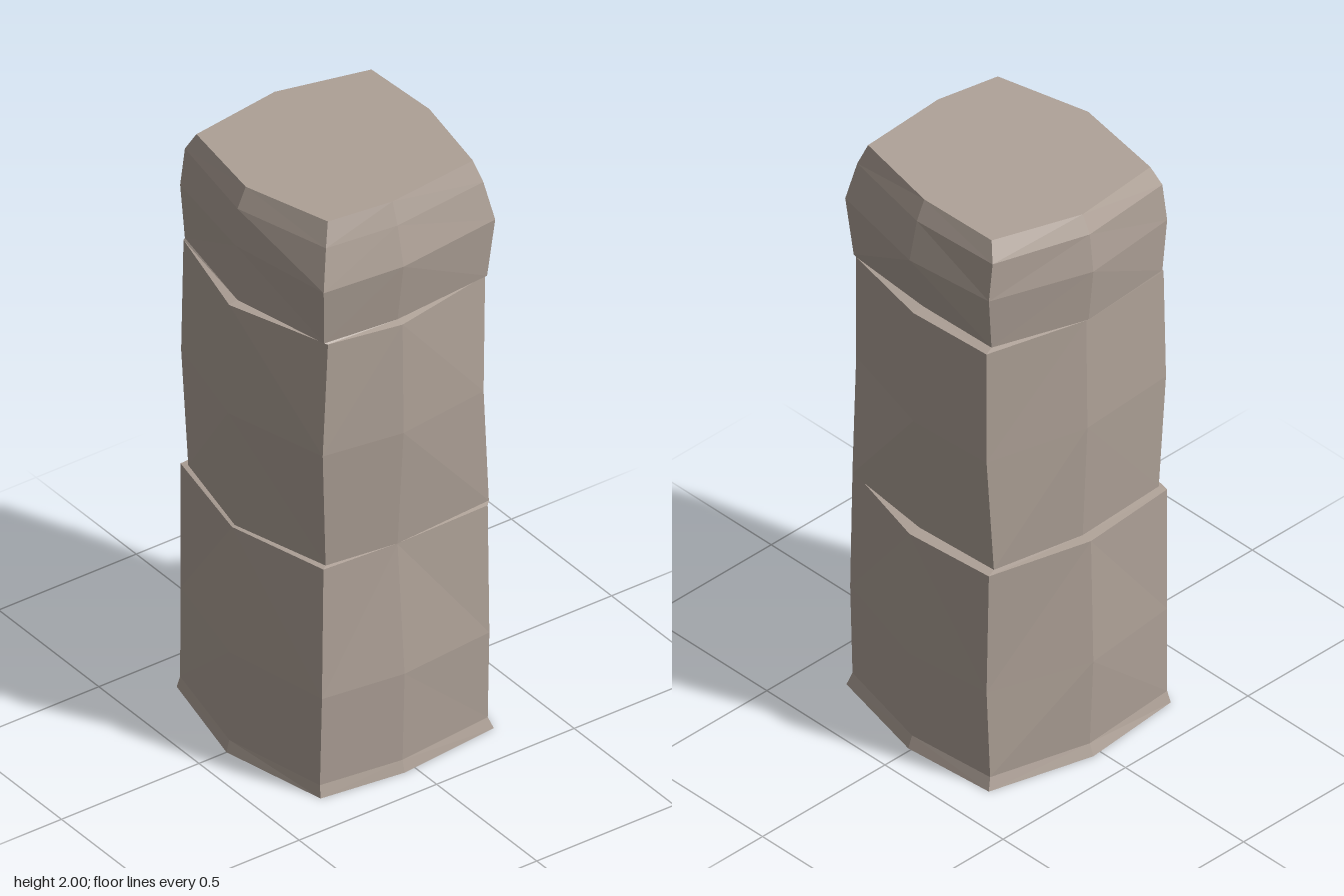
import * as THREE from 'three';

// One eight-sided cross-section: four corners, and a midpoint on each side.
// y: height, [tx, tz]: slope of the ring, then corners and side extents.
function ring(y, [tx, tz], FL, front, FR, right, BR, back, BL, left) {
  const outline = [FL, [-0.04, front], FR, [right, 0.01], BR, [0.03, back], BL, [left, 0]];
  return outline.map(([x, z]) => [x, y + tx * x + tz * z, z]);
}

// Skins a stack of rings; diagonals run from the upper midpoints to the lower corners.
function loft(rings, capped) {
  const pos = [];
  const tri = (...pts) => pts.forEach((p) => pos.push(...p));
  for (let k = 0; k < rings.length - 1; k++) {
    for (let i = 0; i < 8; i++) {
      const j = (i + 1) % 8;
      const a = rings[k][i], b = rings[k][j], c = rings[k + 1][j], d = rings[k + 1][i];
      if (i % 2 === 0) { tri(a, b, c); tri(a, c, d); }
      else { tri(a, b, d); tri(b, c, d); }
    }
  }
  if (capped) {
    const top = rings[rings.length - 1];
    for (let i = 1; i < 7; i++) tri(top[0], top[i], top[i + 1]);
  }
  const geo = new THREE.BufferGeometry();
  geo.setAttribute('position', new THREE.Float32BufferAttribute(pos, 3));
  geo.computeVertexNormals();
  return geo;
}

export function createModel() {
  const group = new THREE.Group();
  group.name = 'stonePillar';
  const stone = new THREE.MeshStandardMaterial({ color: 0xaea197, flatShading: true, side: THREE.DoubleSide });
  stone.name = 'warm grey stone';

  const level = [0, 0], seam = [0.025, -0.02];

  // Lower block, open underneath, with a small flare at the foot
  const lower = [
    ring(0, level, [-0.32, 0.36], 0.395, [0.31, 0.36], 0.395, [0.37, -0.305], -0.395, [-0.315, -0.365], -0.4),
    ring(0.04, level, [-0.315, 0.35], 0.385, [0.295, 0.35], 0.38, [0.355, -0.295], -0.38, [-0.31, -0.355], -0.39),
    ring(0.35, level, [-0.315, 0.36], 0.395, [0.29, 0.365], 0.395, [0.36, -0.285], -0.395, [-0.305, -0.36], -0.39),
    ring(0.79, level, [-0.295, 0.34], 0.36, [0.295, 0.35], 0.39, [0.365, -0.3], -0.385, [-0.305, -0.36], -0.38),
  ];
  // Middle block, slightly pinched at its foot
  const middle = [
    ring(0.793, level, [-0.28, 0.33], 0.36, [0.31, 0.335], 0.35, [0.335, -0.29], -0.35, [-0.295, -0.335], -0.37),
    ring(1.2, level, [-0.305, 0.35], 0.39, [0.28, 0.35], 0.375, [0.36, -0.285], -0.37, [-0.31, -0.35], -0.395),
    ring(1.59, seam, [-0.275, 0.335], 0.385, [0.3, 0.33], 0.375, [0.365, -0.29], -0.365, [-0.305, -0.345], -0.39),
  ];
  // Top block with a worn, bevelled rim
  const cap = [
    ring(1.595, seam, [-0.285, 0.33], 0.36, [0.3, 0.34], 0.335, [0.335, -0.28], -0.375, [-0.3, -0.345], -0.36),
    ring(1.79, [0.03, 0], [-0.305, 0.355], 0.39, [0.315, 0.36], 0.39, [0.36, -0.295], -0.395, [-0.31, -0.355], -0.365),
    ring(1.92, [0.03, 0], [-0.275, 0.325], 0.36, [0.29, 0.335], 0.36, [0.345, -0.295], -0.38, [-0.3, -0.345], -0.36),
    ring(1.985, [0.03, 0.02], [-0.25, 0.3], 0.335, [0.27, 0.31], 0.33, [0.32, -0.265], -0.35, [-0.28, -0.315], -0.33),
  ];
  // Ledges joining each block to the one above
  lower.push(middle[0]);
  middle.push(cap[0]);

  const blocks = { lowerBlock: lower, middleBlock: middle, topBlock: cap };
  for (const [name, rings] of Object.entries(blocks)) {
    const mesh = new THREE.Mesh(loft(rings, rings === cap), stone);
    mesh.name = name;
    group.add(mesh);
  }
  return group;
}
